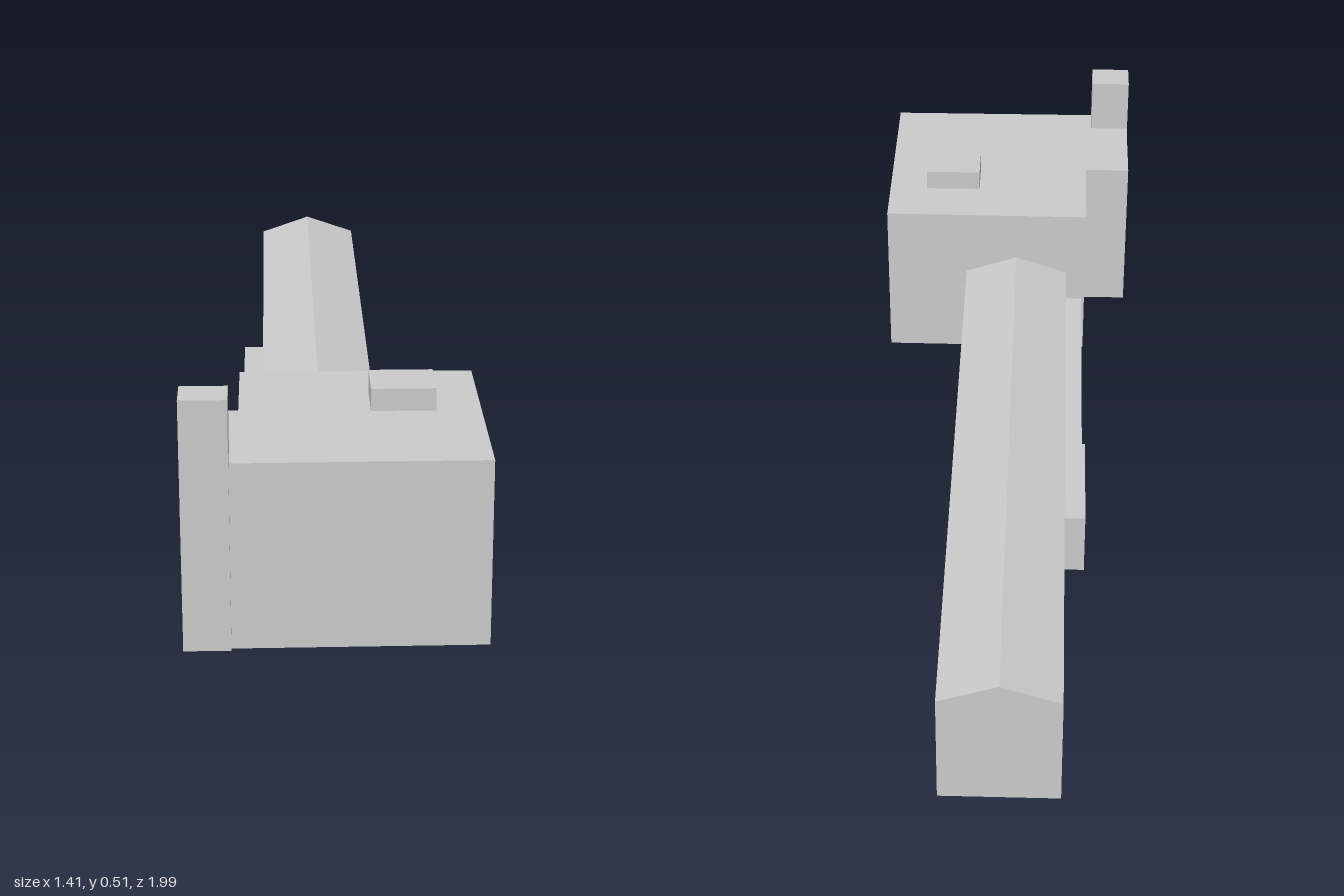
import * as THREE from 'three';

const material = new THREE.MeshStandardMaterial({ color: 0xcccccc, flatShading: true });

// Box given by its plan extents (across, along) and its base and top heights
function block(name, x0, x1, z0, z1, y0, y1) {
  const geo = new THREE.BoxGeometry(x1 - x0, y1 - y0, z1 - z0);
  geo.translate((x0 + x1) / 2, (y0 + y1) / 2, (z0 + z1) / 2);
  return named(name, geo);
}

function named(name, geo) {
  const mesh = new THREE.Mesh(geo, material);
  mesh.name = name;
  return mesh;
}

function extrude(points, depth) {
  const shape = new THREE.Shape(points.map(([x, y]) => new THREE.Vector2(x, y)));
  return new THREE.ExtrudeGeometry(shape, { depth, bevelEnabled: false });
}

export function createModel() {
  const model = new THREE.Group();
  model.name = 'building';

  // The whole plan is turned 30 degrees
  const plan = new THREE.Group();
  plan.name = 'turnedPlan';
  plan.rotation.y = Math.PI / 6;
  model.add(plan);

  // Long hall with a gabled roof
  const hall = extrude([[-0.173, 0], [0.071, 0], [0.071, 0.255], [-0.051, 0.297], [-0.173, 0.255]], 1.5);
  hall.translate(0, 0, -1.114);
  plan.add(named('longHall', hall));

  // Main block with a stepped side wing, drawn as (across, -along)
  const main = extrude([
    [-0.22, -0.434], [-0.22, -0.663], [-0.327, -0.663], [-0.327, -0.948],
    [0.267, -0.946], [0.267, -0.437],
  ], 0.385);
  main.rotateX(-Math.PI / 2);
  plan.add(named('mainBlock', main));

  plan.add(
    // Low aisle beside the hall, running into the main block
    block('lowAisle', -0.213, -0.003, -0.17, 0.438, 0, 0.147),
    block('aisleBay', -0.22, -0.1, -0.43, -0.163, 0, 0.147),
    // Corner stack and rooftop box
    block('cornerStack', -0.328, -0.235, 0.878, 0.957, 0, 0.515),
    block('roofBox', 0.045, 0.176, 0.561, 0.675, 0.38, 0.432),
  );
  return model;
}
